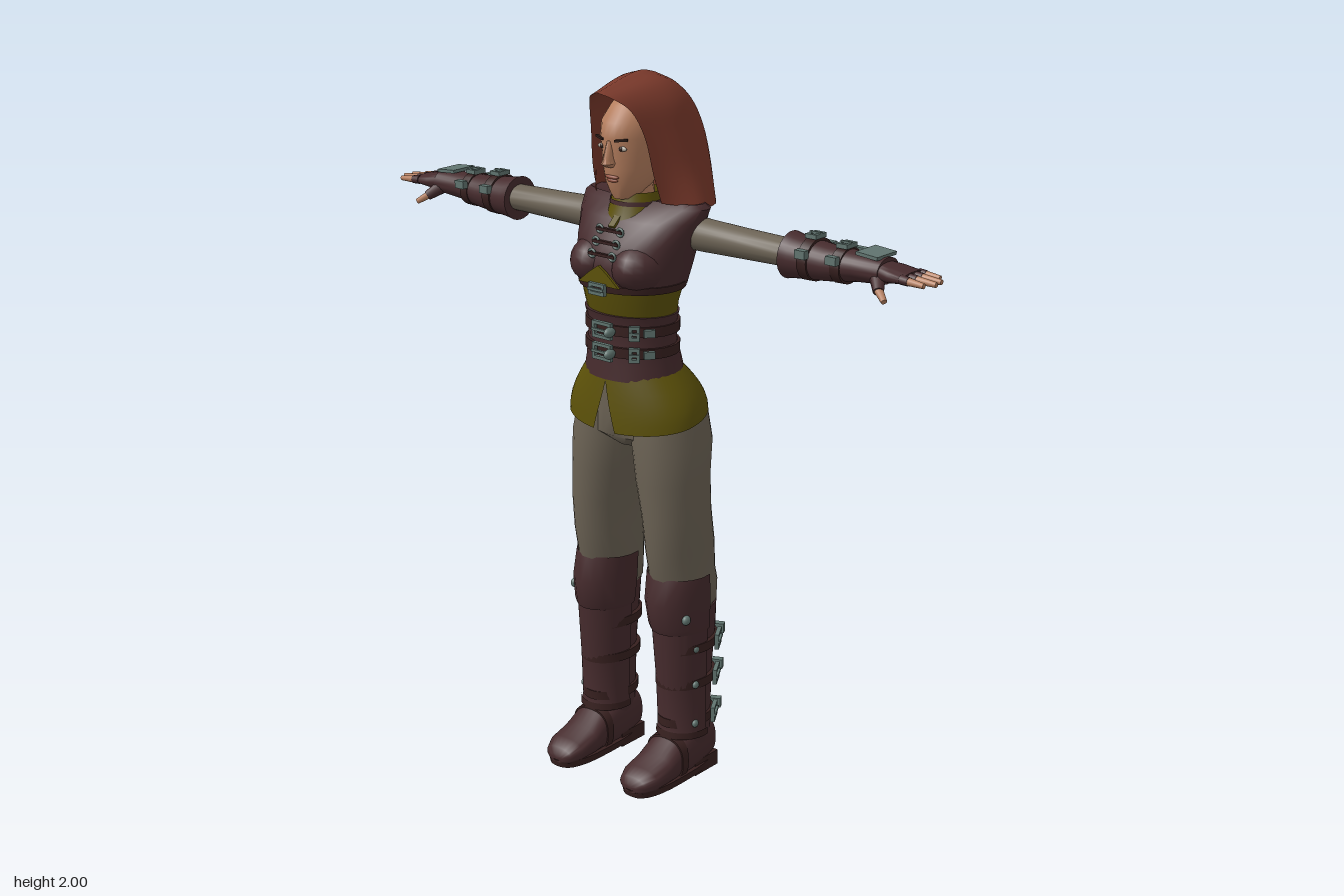
import * as THREE from 'three';
import { mergeVertices, toCreasedNormals } from 'three/addons/utils/BufferGeometryUtils.js';

const V = (x, y, z) => new THREE.Vector3(x, y, z);
const mat = (name, color, side = THREE.FrontSide) => {
  const m = new THREE.MeshStandardMaterial({ color, side });
  m.name = name;
  return m;
};

export function createModel() {
  const hoodRed = mat('hood red', 0x78382a, THREE.DoubleSide);
  const leather = mat('leather', 0x462b2d, THREE.DoubleSide);
  const trim = mat('dark leather', 0x37201f);
  const olive = mat('olive cloth', 0x5c5109, THREE.DoubleSide);
  const cloth = mat('taupe cloth', 0x6b6254);
  const metal = mat('dull metal', 0x60746f);
  const skin = mat('skin', 0xb57e5e);
  const lip = mat('lips', 0x91523f);
  const dark = mat('brows', 0x2e1d18);
  const white = mat('eye white', 0xb5aca0);

  const add = (parent, name, geo, material, pos = [0, 0, 0], rot = [0, 0, 0]) => {
    const m = new THREE.Mesh(geo, material);
    m.name = name;
    m.position.set(...pos);
    m.rotation.set(...rot);
    parent.add(m);
    return m;
  };
  const box = (w, h, d) => new THREE.BoxGeometry(w, h, d);

  // Surface from fn(u, v); u runs rightward and v upward seen from outside
  const grid = (nu, nv, fn, crease = 0.9) => {
    const p = [], idx = [], w = nu + 1;
    for (let j = 0; j <= nv; j++) for (let i = 0; i <= nu; i++) p.push(...fn(i / nu, j / nv));
    for (let j = 0; j < nv; j++) for (let i = 0; i < nu; i++) {
      const a = j * w + i;
      idx.push(a, a + 1, a + w + 1, a, a + w + 1, a + w);
    }
    const g = new THREE.BufferGeometry();
    g.setAttribute('position', new THREE.Float32BufferAttribute(p, 3));
    g.setIndex(idx);
    return toCreasedNormals(mergeVertices(g, 1e-5), crease);
  };
  // Stacked ellipses [y, cx, cz, rx, rz], over an arc, closed at both ends when full
  const loft = (levels, { from = 0, to = Math.PI * 2, pow = 2, cap = true, n = 28 } = {}) => {
    const end = (l) => [l[0], l[1], l[2], 0, 0];
    const L = cap ? [end(levels[0]), ...levels, end(levels.at(-1))] : levels;
    const f = (t) => Math.sign(t) * Math.abs(t) ** (2 / pow);
    return grid(n, L.length - 1, (u, v) => {
      const [y, cx, cz, rx, rz] = L[Math.round(v * (L.length - 1))];
      const a = u >= 1 && cap ? 0 : from + (to - from) * u;
      return [cx + rx * f(Math.sin(a)), y, cz + rz * f(Math.cos(a))];
    });
  };
  const loftX = (levels, o) => loft(levels.map(([x, y, z, ry, rz]) => [x, -y, z, ry, rz]), o).rotateZ(-Math.PI / 2);
  const loftZ = (levels, o) => loft(levels.map(([z, x, y, rx, ry]) => [z, x, -y, rx, ry]), o).rotateX(Math.PI / 2);
  const rod = (parent, name, a, b, r1, r2, material) => {
    const d = b.clone().sub(a);
    const m = add(parent, name, new THREE.CylinderGeometry(r2, r1, d.length(), 10), material);
    m.position.copy(a).addScaledVector(d, 0.5);
    m.quaternion.setFromUnitVectors(V(0, 1, 0), d.normalize());
    return m;
  };
  const ball = (parent, name, material, pos, s) => {
    const m = add(parent, name, new THREE.SphereGeometry(1, 18, 12), material, pos);
    m.scale.set(...s);
    return m;
  };
  // Rectangular buckle frame with a prong
  const buckle = (parent, w, h, pos, rot) => {
    const rect = (path, a, b) => path.moveTo(-a, -b).lineTo(a, -b).lineTo(a, b).lineTo(-a, b).closePath();
    const s = rect(new THREE.Shape(), w / 2, h / 2);
    s.holes.push(rect(new THREE.Path(), w / 2 - 0.009, h / 2 - 0.009));
    const g = new THREE.Group();
    g.name = 'buckle';
    g.position.set(...pos);
    g.rotation.set(...rot);
    add(g, 'buckleFrame', new THREE.ExtrudeGeometry(s, { depth: 0.012, bevelEnabled: false }), metal);
    add(g, 'bucklePin', box(w, 0.007, 0.007), metal, [0, 0, 0.012]);
    parent.add(g);
  };

  const root = new THREE.Group();
  root.name = 'hoodedRanger';

  // Hood: rows of front edge, side, back quarter and back centre, splined both ways
  const hoodRows = [
    [[.112, 1.67, .045], [.185, 1.655, -.04], [.14, 1.65, -.145], [0, 1.65, -.185]],
    [[.105, 1.75, .07], [.152, 1.75, -.04], [.12, 1.75, -.15], [0, 1.75, -.203]],
    [[.092, 1.85, .09], [.127, 1.85, -.03], [.1, 1.85, -.14], [0, 1.85, -.187]],
    [[.07, 1.92, .12], [.105, 1.93, -.02], [.08, 1.92, -.115], [0, 1.92, -.155]],
    [[.035, 1.953, .155], [.065, 1.978, 0], [.052, 1.965, -.08], [0, 1.965, -.11]],
    [[0, 1.965, .17], [0, 2, .02], [0, 1.992, -.05], [0, 1.975, -.09]],
  ].map((r) => {
    const right = r.map((p) => V(...p));
    const left = r.slice(0, 3).reverse().map(([x, y, z]) => V(-x, y, z));
    return new THREE.CatmullRomCurve3([...right, ...left], false, 'catmullrom', 0.5);
  });
  add(root, 'hood', grid(36, 20, (u, v) =>
    new THREE.CatmullRomCurve3(hoodRows.map((c) => c.getPoint(u))).getPoint(v).toArray(), 1.2), hoodRed);

  // Head and face
  add(root, 'head', loft([[1.675, 0, .065, .025, .03], [1.69, 0, .05, .042, .052], [1.72, 0, .035, .06, .078],
    [1.76, 0, .02, .071, .1], [1.8, 0, .015, .077, .106], [1.84, 0, .01, .08, .118], [1.88, 0, .01, .078, .112],
    [1.92, 0, 0, .063, .088], [1.945, 0, 0, .035, .05]]), skin);
  rod(root, 'neck', V(0, 1.6, 0), V(0, 1.72, .02), .052, .048, skin);
  add(root, 'nose', loft([[1.765, 0, .122, .012, .012], [1.775, 0, .123, .017, .027], [1.79, 0, .122, .011, .024],
    [1.835, 0, .12, .007, .01]], { n: 12 }), skin);
  ball(root, 'upperLip', lip, [0, 1.737, .112], [.023, .006, .009]);
  ball(root, 'lowerLip', lip, [0, 1.728, .11], [.019, .006, .009]);
  for (const s of [-1, 1]) {
    ball(root, 'eye', white, [s * .033, 1.815, .111], [.016, .007, .006]);
    ball(root, 'iris', dark, [s * .033, 1.815, .115], [.006, .006, .004]);
    add(root, 'brow', box(.036, .006, .008), dark, [s * .036, 1.838, .118], [0, s * .35, s * .1]);
    ball(root, 'ear', skin, [s * .08, 1.8, .01], [.012, .03, .02]);
  }

  // Torso
  add(root, 'collar', loft([[1.61, 0, .015, .085, .085], [1.65, 0, .015, .07, .07], [1.69, 0, .012, .064, .064]], { cap: false }), olive);
  add(root, 'collarBand', loft([[1.655, 0, .015, .071, .071], [1.667, 0, .015, .07, .07]], { cap: false }), leather);
  add(root, 'vest', loft([[1.445, 0, .025, .15, .125], [1.5, 0, .02, .163, .135], [1.56, 0, .007, .175, .13],
    [1.62, 0, -.015, .194, .11], [1.655, 0, -.03, .205, .08], [1.668, 0, -.03, .19, .06], [1.65, 0, -.03, .1, .04]], { pow: 2.2 }), leather);
  for (const s of [-1, 1]) ball(root, 'vestBust', leather, [s * .073, 1.5, .07], [.075, .07, .1]);
  add(root, 'tunicWaist', loft([[1.35, 0, .03, .13, .1], [1.4, 0, .034, .137, .112], [1.45, 0, .03, .148, .128]]), olive);
  add(root, 'vestStrap', loft([[1.437, 0, .03, .152, .134], [1.457, 0, .03, .157, .136]]), trim);
  const gusset = new THREE.Shape([[-.07, 1.457], [.07, 1.457], [.03, 1.49], [0, 1.51], [-.03, 1.49]].map((p) => new THREE.Vector2(...p)));
  add(root, 'tunicGusset', new THREE.ExtrudeGeometry(gusset, { depth: .008, bevelEnabled: false }), olive, [0, 0, .162]);
  buckle(root, .055, .032, [0, 1.447, .168], [0, 0, 0]);
  add(root, 'placket', box(.02, .075, .008), olive, [0, 1.628, .088], [-.85, 0, 0]);
  for (let i = 0; i < 3; i++) {
    const y = 1.535 + i * .03, z = .154 - i * .016;
    add(root, 'claspCord', box(.09, .008, .01), trim, [0, y, z]);
    for (const s of [-1, 1]) add(root, 'claspRing', new THREE.TorusGeometry(.01, .004, 6, 12), metal, [s * .035, y, z]);
  }

  // Wide waist belt with two buckled straps
  add(root, 'waistBelt', loft([[1.19, 0, .022, .146, .122], [1.23, 0, .024, .138, .116], [1.29, 0, .03, .129, .105],
    [1.345, 0, .032, .132, .105], [1.37, 0, .033, .138, .112]]), leather);
  for (const y of [1.27, 1.33]) {
    add(root, 'beltStrap', loft([[y - .014, 0, .03, .137, .115], [y + .014, 0, .03, .137, .115]]), trim);
    buckle(root, .065, .046, [0, y, .148], [0, 0, 0]);
    buckle(root, .03, .04, [.085, y, .122], [0, .6, 0]);
    add(root, 'strapTip', box(.03, .02, .012), metal, [.118, y, .1], [0, .9, 0]);
    ball(root, 'beltStud', metal, [.03, y, .16], [.012, .014, .02]);
  }

  // Tunic skirt with a slit in front
  add(root, 'tunicSkirt', grid(48, 6, (u, v) => {
    const t = 1 - v, slit = .21 * Math.max(0, t - .15), a = slit + (Math.PI * 2 - 2 * slit) * u;
    const e = Math.sin(t * Math.PI / 2), c = Math.cos(a);
    return [(.14 + .068 * e) * Math.sin(a), 1.21 - t * (.14 + .025 * c), .02 + c * (c > 0 ? .12 + .012 * e : .115 + .072 * e)];
  }), olive);
  add(root, 'hips', loft([[.985, 0, -.01, .06, .08], [1.02, 0, -.012, .185, .122], [1.1, 0, -.012, .18, .12], [1.2, 0, .015, .13, .105]]), cloth);

  // Left arm
  const side = new THREE.Group();
  side.name = 'leftLimbs';
  add(side, 'sleeve', loftX([[.13, 1.585, -.045, .048, .05], [.2, 1.583, -.04, .044, .047], [.33, 1.583, -.038, .04, .045], [.5, 1.583, -.038, .036, .042]]), cloth);
  add(side, 'bracer', loftX([[.475, 1.58, -.038, .062, .064], [.5, 1.58, -.037, .057, .06], [.6, 1.58, -.036, .047, .054],
    [.69, 1.585, -.037, .038, .046], [.77, 1.588, -.038, .034, .048]]), leather);
  for (const [x, r] of [[.55, .053], [.645, .044]]) {
    add(side, 'bracerStrap', loftX([[x - .014, 1.582, -.037, r + .004, r + .01], [x + .014, 1.582, -.037, r + .003, r + .009]]), trim);
    buckle(side, .034, .045, [x, 1.584 + r, -.037], [-Math.PI / 2, 0, 0]);
    for (const z of [-.1, .024]) add(side, 'bracerFitting', box(.032, .022, .018), metal, [x, 1.605, z]);
  }
  add(side, 'handPlate', box(.065, .009, .085), metal, [.73, 1.626, -.043], [0, 0, -.08]);

  // Left hand in a fingerless glove
  add(side, 'glove', loftX([[.75, 1.588, -.036, .026, .04], [.8, 1.586, -.038, .021, .05], [.845, 1.585, -.038, .014, .048]], { pow: 2.4 }), leather);
  [.895, .918, .922, .905].forEach((tip, i) => {
    const z = -.077 + i * .026, root0 = V(.835, 1.586, z), end = V(tip, 1.582, z * 1.12 + .004);
    rod(side, 'gloveFinger', root0, root0.clone().lerp(end, .35), .0125, .0115, leather);
    rod(side, 'finger', root0.clone().lerp(end, .3), end, .0105, .007, skin);
  });
  rod(side, 'gloveThumb', V(.755, 1.578, -.015), V(.785, 1.55, .022), .021, .014, leather);
  rod(side, 'thumb', V(.782, 1.553, .018), V(.812, 1.532, .036), .0115, .008, skin);

  // Left leg
  add(side, 'trouserLeg', loft([[.5, .135, -.035, .06, .08], [.53, .135, -.036, .08, .1], [.58, .135, -.036, .08, .104], [.62, .13, -.028, .08, .108],
    [.7, .13, -.018, .081, .115], [.8, .127, -.006, .084, .112], [.9, .116, -.004, .092, .117], [1, .107, -.01, .1, .125], [1.1, .095, -.012, .09, .118]]), cloth);

  // Left boot: shaft, shin and knee guards, straps, foot
  add(side, 'bootShaft', loft([[.1, .14, -.035, .06, .08], [.2, .14, -.036, .062, .083], [.32, .14, -.035, .063, .088],
    [.44, .14, -.036, .068, .1], [.52, .138, -.034, .075, .103], [.515, .138, -.034, .066, .092]]), leather);
  const arc = { from: -1.75, to: 1.75, cap: false };
  add(side, 'shinGuard', loft([[.14, .143, -.025, .074, .081], [.16, .142, -.025, .071, .077], [.3, .141, -.025, .07, .088], [.48, .138, -.02, .08, .095]], arc), leather);
  add(side, 'shinHem', loft([[.135, .143, -.025, .076, .083], [.155, .143, -.025, .075, .081]], arc), trim);
  add(side, 'kneeGuard', loft([[.46, .138, -.02, .081, .1], [.475, .137, -.02, .084, .106], [.55, .133, -.02, .086, .12], [.625, .13, -.02, .091, .098]],
    { from: -1.8, to: 1.8, cap: false, n: 10 }), leather);
  for (const y of [.18, .3, .41]) {
    const k = (y - .18) * .05;
    add(side, 'bootStrap', loft([[y - .013, .14, -.035, .069 + k, .092 + k], [y + .013, .14, -.035, .069 + k, .092 + k]]), trim);
    buckle(side, .06, .044, [.193 + k, y, -.09], [0, 2.1, 0]);
    add(side, 'bootStrapTip', box(.03, .028, .02), metal, [.165, y, -.143 - k], [0, .45, 0]);
    ball(side, 'shinStud', metal, [.209, y, .005], [.008, .011, .011]);
  }
  ball(side, 'kneeStud', metal, [.206, .51, .045], [.011, .014, .014]);
  add(side, 'foot', loftZ([[-.115, .138, .085, .05, .06], [-.07, .138, .085, .06, .075], [0, .139, .08, .063, .075], [.05, .14, .072, .063, .062],
    [.1, .14, .056, .065, .042], [.16, .14, .047, .062, .033], [.195, .139, .04, .046, .023], [.208, .139, .035, .025, .012]], { pow: 2.5 }), leather);
  add(side, 'sole', loft([[.008, .139, .045, .062, .16], [.03, .139, .045, .066, .165]], { pow: 2.8 }), trim);
  add(side, 'heel', box(.112, .045, .1), trim, [.138, .0225, -.067]);
  add(side, 'instepStrap', loftZ([[.03, .14, .072, .067, .07], [.055, .14, .07, .067, .066]], { pow: 2.5 }), trim);
  root.add(side);

  // Mirror the limbs to the right, turning each triangle round
  const other = new THREE.Group();
  other.name = 'rightLimbs';
  side.updateMatrixWorld(true);
  side.traverse((m) => {
    if (!m.isMesh) return;
    let g = m.geometry.clone().applyMatrix4(m.matrixWorld).scale(-1, 1, 1);
    if (g.index) g = g.toNonIndexed();
    g.deleteAttribute('uv');
    const p = g.attributes.position, n = g.attributes.normal;
    for (const a of [p, n]) for (let i = 0; i < a.count; i += 3) {
      const t = V().fromBufferAttribute(a, i + 1);
      a.setXYZ(i + 1, a.getX(i + 2), a.getY(i + 2), a.getZ(i + 2));
      a.setXYZ(i + 2, t.x, t.y, t.z);
    }
    for (let i = 0; i < n.count; i++) n.setX(i, n.getX(i));
    add(other, m.name, g, m.material);
  });
  root.add(other);
  return root;
}
